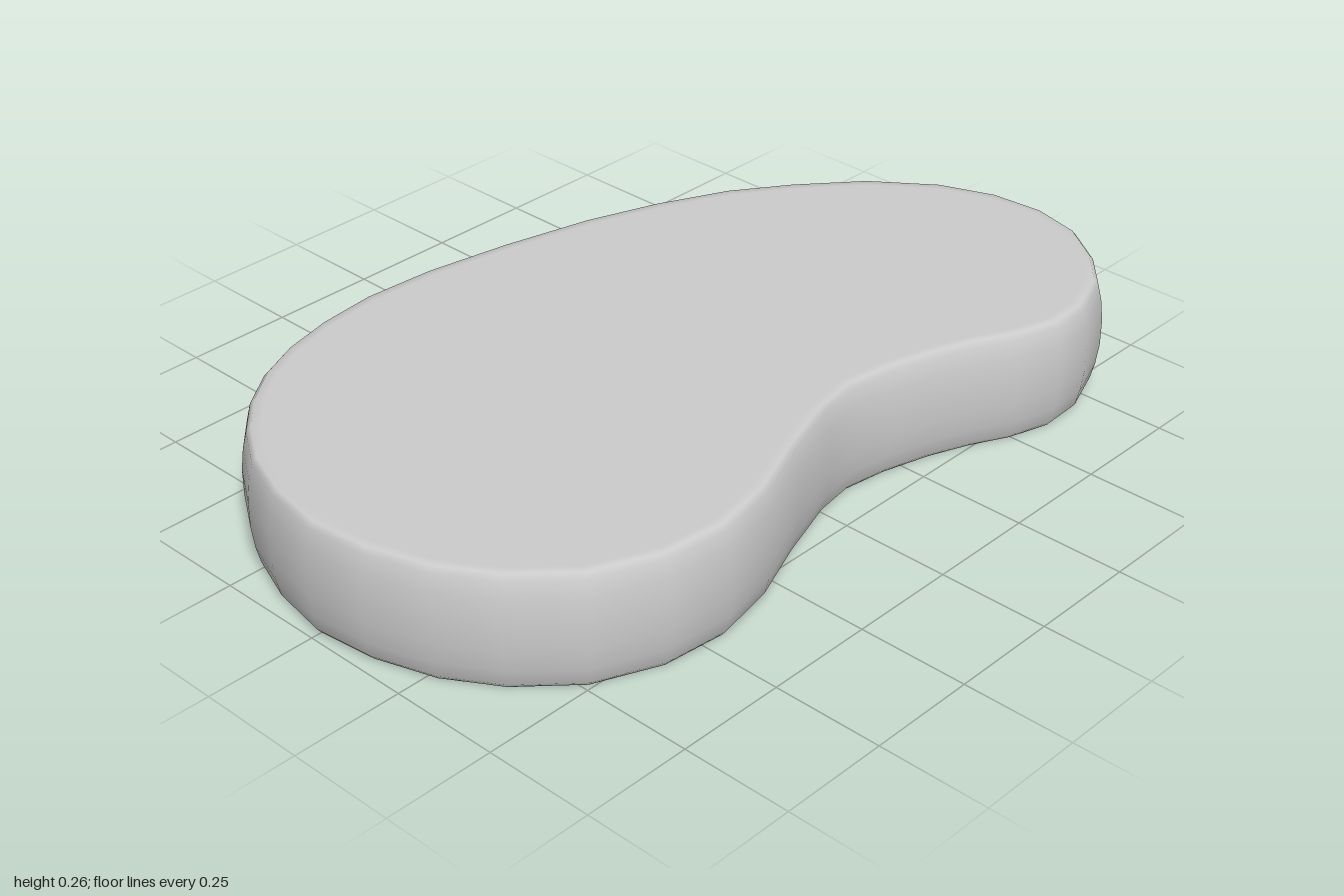
import * as THREE from 'three';

// Kidney outline as [x, z], clockwise seen from above
const OUTLINE = [
  [0.24, -1], [0.36, -0.97], [0.46, -0.9], [0.54, -0.81], [0.585, -0.69], [0.59, -0.59],
  [0.56, -0.49], [0.515, -0.4], [0.48, -0.31], [0.45, -0.2], [0.435, -0.1], [0.45, 0],
  [0.5, 0.15], [0.56, 0.3], [0.59, 0.45], [0.575, 0.6], [0.51, 0.75], [0.4, 0.865],
  [0.28, 0.94], [0.14, 0.985], [0, 1], [-0.14, 0.975], [-0.26, 0.93], [-0.36, 0.865],
  [-0.44, 0.79], [-0.505, 0.7], [-0.55, 0.6], [-0.58, 0.48], [-0.595, 0.34], [-0.585, 0.17],
  [-0.55, -0.03], [-0.5, -0.24], [-0.44, -0.41], [-0.365, -0.57], [-0.275, -0.7],
  [-0.16, -0.835], [-0.02, -0.94], [0.11, -0.99],
].map(([x, z]) => new THREE.Vector2(x, z));

// Edge section as [inset, y], bottom to top: flat rim, soft bevel, bulging wall
const SECTION = [
  [0.045, 0], [0.025, 0], [0.015, 0.012], [0.006, 0.05], [0, 0.1],
  [0, 0.16], [0.006, 0.21], [0.015, 0.248], [0.025, 0.26], [0.045, 0.26],
];

// Moves the outline inwards along its own normals
function insetOutline(distance) {
  const n = OUTLINE.length;
  return OUTLINE.map((p, i) => {
    const t = OUTLINE[(i + 1) % n].clone().sub(OUTLINE[(i + n - 1) % n]).normalize();
    return new THREE.Vector2(p.x - t.y * distance, p.y + t.x * distance);
  });
}

function createSlabGeometry() {
  const n = OUTLINE.length;
  const positions = [];
  const index = [];

  // Rings of the wall
  SECTION.forEach(([inset, y], j) => {
    insetOutline(inset).forEach((p, i) => {
      positions.push(p.x, y, p.y);
      if (j === SECTION.length - 1) return;
      const a = j * n + i;
      const b = j * n + ((i + 1) % n);
      index.push(b, a, a + n, b, a + n, b + n);
    });
  });

  // Flat bottom and top share the innermost rings
  const top = (SECTION.length - 1) * n;
  const faces = THREE.ShapeUtils.triangulateShape(insetOutline(SECTION[0][0]), []);
  for (const [a, b, c] of faces) {
    index.push(a, b, c, top + c, top + b, top + a);
  }

  const geometry = new THREE.BufferGeometry();
  geometry.setAttribute('position', new THREE.Float32BufferAttribute(positions, 3));
  geometry.setIndex(index);
  geometry.computeVertexNormals();
  return geometry;
}

export function createModel() {
  const group = new THREE.Group();
  group.name = 'kidneySlab';
  const slab = new THREE.Mesh(
    createSlabGeometry(),
    new THREE.MeshStandardMaterial({ color: 0xcccccc }),
  );
  slab.name = 'slab';
  group.add(slab);
  return group;
}
